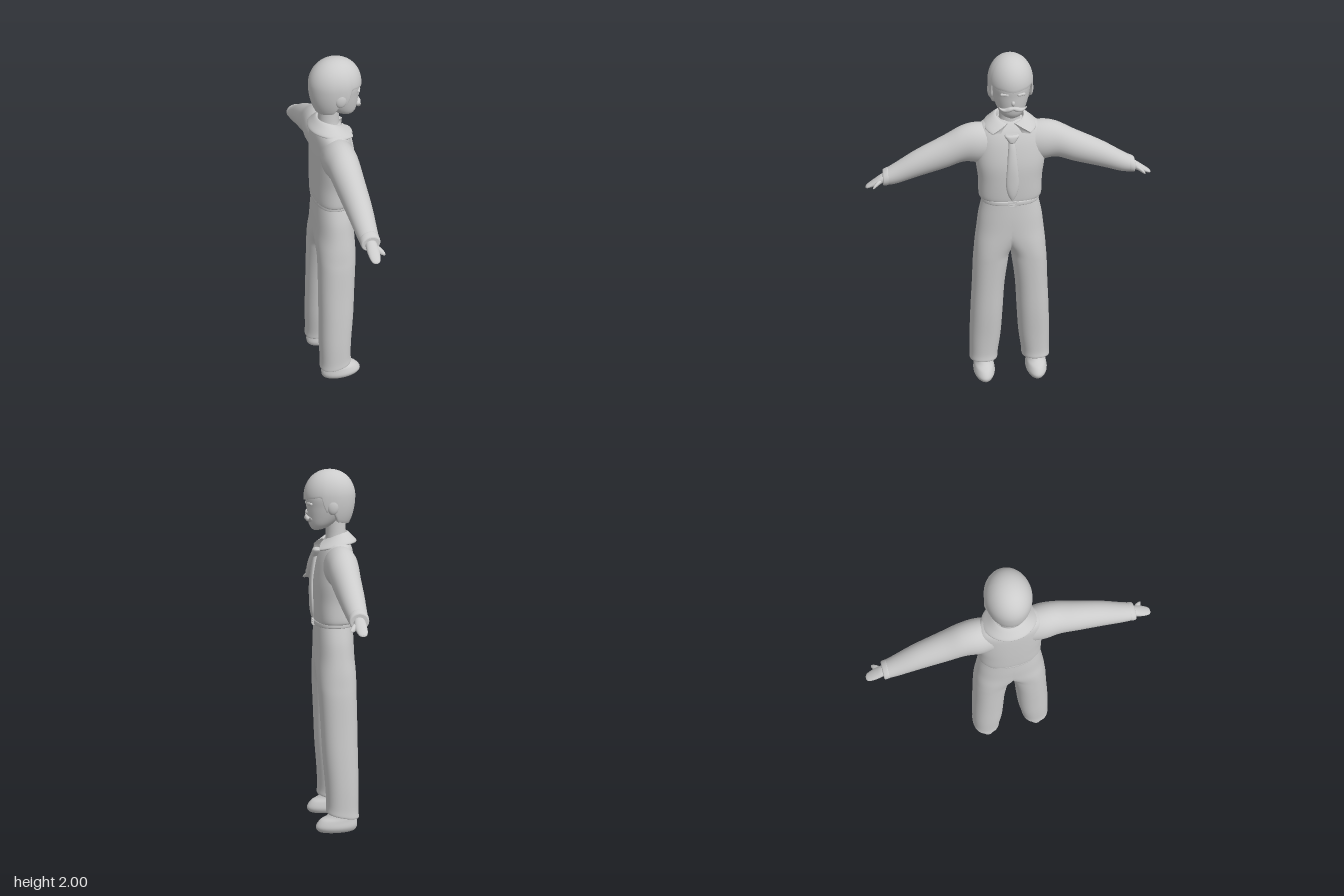
import * as THREE from 'three';
import { RoundedBoxGeometry } from 'three/addons/geometries/RoundedBoxGeometry.js';

const material = new THREE.MeshStandardMaterial({ color: 0xcccccc });

// Catmull-Rom through rows of numbers, s from 0 to 1
function sample(rows, s) {
  const n = rows.length - 1, f = s * n, i = Math.min(Math.floor(f), n - 1), t = f - i;
  const row = k => rows[Math.max(0, Math.min(n, k))];
  return rows[0].map((_, c) => {
    const [a, b, d, e] = [row(i - 1)[c], row(i)[c], row(i + 1)[c], row(i + 2)[c]];
    return b + 0.5 * t * (d - a + t * (2 * a - 5 * b + 4 * d - e + t * (3 * (b - d) + e - a)));
  });
}

// Skin of nv + 1 closed rings with nu points each, capped at both ends
function skin(nu, nv, f) {
  const pos = [], index = [];
  for (let j = 0; j <= nv; j++) for (let i = 0; i < nu; i++) pos.push(...f(i / nu, j / nv));
  for (let j = 0; j < nv; j++) for (let i = 0; i < nu; i++) {
    const k = (i + 1) % nu, a = j * nu + i, b = j * nu + k;
    index.push(a, a + nu, b, b, a + nu, b + nu);
  }
  for (const end of [0, nv]) {
    const start = pos.length / 3, mid = [0, 0, 0];
    for (let i = 0; i < nu; i++) {
      const p = pos.slice((end * nu + i) * 3, (end * nu + i) * 3 + 3);
      pos.push(...p);
      p.forEach((v, c) => { mid[c] += v / nu; });
    }
    pos.push(...mid);
    for (let i = 0; i < nu; i++) {
      const a = start + i, b = start + (i + 1) % nu;
      index.push(start + nu, ...(end ? [b, a] : [a, b]));
    }
  }
  const g = new THREE.BufferGeometry();
  g.setAttribute('position', new THREE.Float32BufferAttribute(pos, 3));
  g.setIndex(index);
  g.computeVertexNormals();
  return g;
}

// Upright loft: rows are [y, centre x, centre z, half width, half depth]
function loft(rows, { sideways = false, nu = 32, power = 2 } = {}) {
  const bend = v => Math.sign(v) * Math.abs(v) ** (2 / power);
  return skin(nu, (rows.length - 1) * 6, (u, v) => {
    const [t, cx, cz, rx, rz] = sample(rows, v), a = u * Math.PI * 2;
    const p = cx + rx * bend(Math.cos(a)), q = cz + rz * bend(Math.sin(a));
    return sideways ? [t, q, p] : [p, t, q];
  });
}
// Sideways loft: rows are [x, centre z, centre y, half depth, half height]
const sideLoft = (rows, nu = 24) => loft(rows, { sideways: true, nu });

function mirrored(geometry) {
  const g = geometry.clone().scale(-1, 1, 1), ix = g.index?.array;
  if (!ix) return geometry.clone().rotateY(Math.PI).scale(1, 1, 1);
  for (let i = 0; i < ix.length; i += 3) [ix[i], ix[i + 1]] = [ix[i + 1], ix[i]];
  return g;
}

function hairGeometry() {
  // Hairline height against the angle from the forehead
  const line = [[0, 1.84], [0.6, 1.85], [1.1, 1.86], [1.3, 1.78], [1.6, 1.775], [1.9, 1.725], [2.5, 1.715], [3.15, 1.715]];
  const hairline = a => {
    const i = line.findIndex(p => p[0] >= a) || 1, [p, q] = [line[i - 1], line[i]];
    return p[1] + (q[1] - p[1]) * THREE.MathUtils.smoothstep(a, p[0], q[0]);
  };
  return skin(72, 26, (u, v) => {
    const a = u * Math.PI * 2;
    const low = Math.acos((hairline(Math.min(a, 2 * Math.PI - a)) - 1.86) / 0.22);
    const phi = 0.001 + low * (1 - Math.max(0, (v * 26 - 2) / 24));
    // The two lowest rings roll in under the edge
    const inset = v === 0 ? 0.82 : v < 1.5 / 26 ? 0.975 : 1;
    const c = Math.cos(phi), r = Math.sin(phi) ** 0.95 * inset;
    return [-Math.sin(a) * r * 0.118, 1.86 + c * (c > 0 ? 0.14 : 0.22), Math.cos(a) * r * 0.139];
  });
}

function collarGeometry() {
  // [radius, height, share of the wing tip]
  const profile = [[0.06, 1.61, 0], [0.064, 1.66, 0], [0.073, 1.667, 0.05], [0.098, 1.645, 0.6], [0.12, 1.621, 1], [0.115, 1.611, 1], [0.09, 1.615, 0.6], [0.06, 1.61, 0]];
  return skin(28, 48, (u, v) => {
    const [r, y, w] = sample(profile, u);
    const gap = 0.26 + 0.42 * w, a = 2 * Math.PI - gap - v * 2 * (Math.PI - gap);
    const front = ((1 + Math.cos(a)) / 2) ** 2;
    const reach = r + 0.02 * w * front;
    return [Math.sin(a) * reach * 1.12, y - 0.045 * front, -0.03 + Math.cos(a) * reach * 0.95];
  });
}

// Left half of the trousers; above the crotch the ring is cut flat at x = 0
function trouserGeometry() {
  const g = loft([[0.1, 0.154, -0.045, 0.072, 0.084], [0.104, 0.154, -0.045, 0.081, 0.092], [0.15, 0.151, -0.045, 0.082, 0.089],
    [0.28, 0.142, -0.043, 0.09, 0.093], [0.45, 0.133, -0.035, 0.092, 0.098], [0.62, 0.123, -0.03, 0.092, 0.101],
    [0.77, 0.11, -0.025, 0.098, 0.104], [0.84, 0.1, -0.023, 0.102, 0.106], [0.91, 0.07, -0.022, 0.126, 0.108],
    [0.99, 0.025, -0.02, 0.161, 0.108], [1.08, 0, -0.019, 0.174, 0.108], [1.165, 0, -0.018, 0.154, 0.104]], { nu: 64, power: 2.25 });
  const p = g.attributes.position;
  for (let i = 0; i < p.count; i++) {
    // Hem hangs lower at the heel
    const fade = 1 - THREE.MathUtils.smoothstep(p.getY(i), 0.1, 0.4);
    p.setXYZ(i, Math.max(0, p.getX(i)), p.getY(i) + 0.2 * fade * (p.getZ(i) + 0.045), p.getZ(i));
  }
  g.computeVertexNormals();
  // Keep the shading smooth across the middle seam
  const n = g.attributes.normal, v = new THREE.Vector3();
  for (let i = 0; i < p.count; i++) if (p.getX(i) === 0) {
    v.fromBufferAttribute(n, i).setX(0).normalize();
    n.setXYZ(i, v.x, v.y, v.z);
  }
  return g;
}

export function createModel() {
  const model = new THREE.Group();
  const figure = new THREE.Group();
  figure.name = 'figure';
  figure.rotation.y = Math.PI / 2; // the person looks along +x
  model.add(figure);

  const add = (name, geometry) => {
    const mesh = new THREE.Mesh(geometry, material);
    mesh.name = name;
    figure.add(mesh);
  };
  const addPair = (name, geometry) => {
    add(name + 'Left', geometry);
    add(name + 'Right', mirrored(geometry));
  };
  const ball = (x, y, z, rx, ry, rz) =>
    new THREE.SphereGeometry(1, 24, 16).scale(rx, ry, rz).translate(x, y, z);

  // Head
  add('face', loft([[1.678, 0, 0.07, 0.02, 0.02], [1.688, 0, 0.06, 0.045, 0.04], [1.71, 0, 0.045, 0.066, 0.067],
    [1.75, 0, 0.025, 0.084, 0.095], [1.8, 0, 0.01, 0.098, 0.115], [1.86, 0, 0.002, 0.106, 0.126], [1.92, 0, 0, 0.088, 0.1]]));
  add('neck', loft([[1.58, 0, -0.035, 0.08, 0.06], [1.63, 0, -0.035, 0.058, 0.056], [1.7, 0, -0.033, 0.054, 0.054], [1.8, 0, -0.03, 0.056, 0.056]]));
  add('hair', hairGeometry());
  addPair('ear', ball(0.104, 1.81, 0, 0.017, 0.043, 0.032));
  for (const [side, s] of [['Left', 1], ['Right', -1]]) {
    add('eye' + side, new RoundedBoxGeometry(0.044, 0.015, 0.016, 3, 0.006).rotateY(s * 0.38).translate(s * 0.043, 1.821, 0.115));
  }
  add('nose', ball(0, 1.775, 0.12, 0.01, 0.015, 0.013));
  addPair('moustache', sideLoft([[-0.002, 0.122, 1.748, 0.012, 0.008], [0.02, 0.122, 1.742, 0.013, 0.013], [0.042, 0.115, 1.736, 0.013, 0.011],
    [0.06, 0.113, 1.741, 0.009, 0.007], [0.073, 0.118, 1.755, 0.002, 0.003]], 14));

  // Shirt
  add('shirtBody', loft([[1.18, 0, -0.02, 0.155, 0.1], [1.195, 0, -0.02, 0.171, 0.109], [1.3, 0, -0.017, 0.174, 0.113],
    [1.4, 0, -0.016, 0.186, 0.112], [1.5, 0, -0.022, 0.188, 0.102], [1.57, 0, -0.03, 0.178, 0.088],
    [1.61, 0, -0.035, 0.145, 0.07], [1.635, 0, -0.037, 0.075, 0.052]], { nu: 48, power: 2.35 }));
  addPair('sleeve', sideLoft([[0.05, -0.03, 1.49, 0.075, 0.1], [0.16, -0.03, 1.497, 0.09, 0.112], [0.25, -0.028, 1.495, 0.084, 0.1],
    [0.35, -0.026, 1.453, 0.077, 0.09], [0.5, -0.025, 1.394, 0.066, 0.074], [0.61, -0.026, 1.343, 0.055, 0.058], [0.665, -0.027, 1.323, 0.049, 0.045]], 32));
  addPair('cuff', sideLoft([[0.652, -0.027, 1.328, 0.046, 0.042], [0.657, -0.027, 1.326, 0.051, 0.048],
    [0.679, -0.027, 1.319, 0.05, 0.044], [0.684, -0.027, 1.317, 0.044, 0.038]], 32));
  add('collar', collarGeometry());

  // Tie
  add('tieBlade', loft([[1.195, 0, 0.094, 0.003, 0.005], [1.235, 0, 0.097, 0.024, 0.012], [1.3, 0, 0.1, 0.035, 0.013],
    [1.4, 0, 0.099, 0.029, 0.013], [1.5, 0, 0.084, 0.021, 0.013], [1.55, 0, 0.069, 0.015, 0.012]], { nu: 24 }));
  add('tieKnot', loft([[1.532, 0, 0.075, 0.014, 0.014], [1.54, 0, 0.075, 0.02, 0.02], [1.568, 0, 0.07, 0.038, 0.022], [1.577, 0, 0.066, 0.034, 0.014]], { nu: 24, power: 2.6 }));

  // Hands
  addPair('hand', sideLoft([[0.66, -0.027, 1.322, 0.028, 0.027], [0.69, -0.027, 1.312, 0.03, 0.026], [0.72, -0.027, 1.296, 0.031, 0.021],
    [0.75, -0.028, 1.281, 0.027, 0.014], [0.77, -0.028, 1.271, 0.02, 0.009], [0.778, -0.028, 1.267, 0.008, 0.004]]));
  addPair('thumb', sideLoft([[0.685, -0.014, 1.308, 0.012, 0.012], [0.71, 0, 1.299, 0.018, 0.013],
    [0.728, 0.014, 1.288, 0.014, 0.011], [0.738, 0.024, 1.281, 0.006, 0.005]], 14));

  // Belt
  add('belt', loft([[1.16, 0, -0.018, 0.152, 0.102], [1.164, 0, -0.018, 0.159, 0.109], [1.183, 0, -0.018, 0.159, 0.109], [1.187, 0, -0.018, 0.152, 0.102]], { nu: 48, power: 2.3 }));
  const rectangle = (path, w, h) => path.moveTo(-w, -h).lineTo(w, -h).lineTo(w, h).lineTo(-w, h);
  const frame = rectangle(new THREE.Shape(), 0.024, 0.016);
  frame.holes.push(rectangle(new THREE.Path(), 0.016, 0.009));
  add('buckle', new THREE.ExtrudeGeometry(frame, { depth: 0.012, bevelEnabled: false }).translate(0, 1.173, 0.086));
  add('bucklePin', new THREE.BoxGeometry(0.034, 0.005, 0.008).translate(0, 1.173, 0.093));

  // Trousers and shoes
  addPair('trouser', trouserGeometry());
  addPair('shoe', loft([[0, 0.152, -0.012, 0.03, 0.08], [0.008, 0.153, -0.012, 0.05, 0.106], [0.035, 0.154, -0.012, 0.063, 0.117],
    [0.07, 0.154, -0.022, 0.058, 0.104], [0.095, 0.154, -0.04, 0.052, 0.08], [0.14, 0.154, -0.05, 0.045, 0.055]]));

  return model;
}
